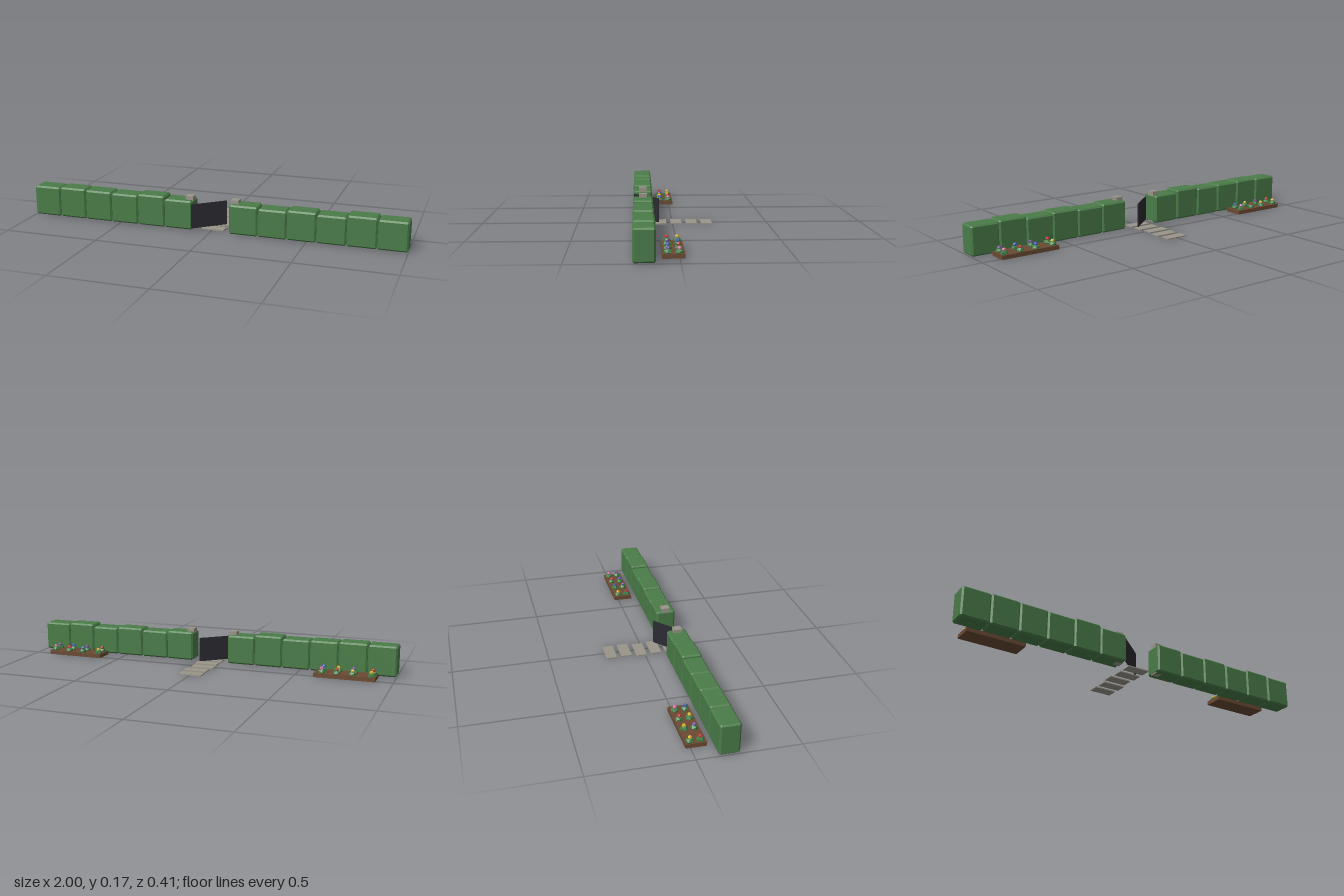
import * as THREE from 'three';
import { ConvexGeometry } from 'three/addons/geometries/ConvexGeometry.js';

const paint = (name, color) => {
  const m = new THREE.MeshStandardMaterial({ color });
  m.name = name;
  return m;
};

// Box with all edges chamfered, standing on y = 0
function chamferBox(w, h, d, b) {
  const pts = [];
  for (const x of [-1, 1]) for (const y of [-1, 1]) for (const z of [-1, 1]) {
    for (let axis = 0; axis < 3; axis++) {
      const inset = [b, b, b];
      inset[axis] = 0;
      pts.push(new THREE.Vector3(
        x * (w / 2 - inset[0]),
        h / 2 + y * (h / 2 - inset[1]),
        z * (d / 2 - inset[2])));
    }
  }
  return new ConvexGeometry(pts);
}

export function createModel() {
  const model = new THREE.Group();
  model.name = 'gardenHedge';

  const hedgeGreen = paint('hedge green', 0x4a7c48);
  const stone = paint('stone grey', 0x9a958a);
  const iron = paint('dark iron', 0x2c2b31);
  const wood = paint('planter brown', 0x6b4a33);
  const leaf = paint('leaf green', 0x3f7d45);
  const petals = {
    red: paint('red petal', 0xc23b3b),
    yellow: paint('yellow petal', 0xd6b431),
    purple: paint('purple petal', 0x8350a8),
    pink: paint('pink petal', 0xd672a4),
    blue: paint('blue petal', 0x4a5fc0),
  };

  const add = (parent, name, geometry, material, x, y, z) => {
    const mesh = new THREE.Mesh(geometry, material);
    mesh.name = name;
    mesh.position.set(x, y, z);
    parent.add(mesh);
    return mesh;
  };

  // Two hedge runs of six clipped blocks, ordered from -x to +x
  const heights = [
    [0.160, 0.163, 0.160, 0.157, 0.166, 0.154],
    [0.155, 0.148, 0.155, 0.148, 0.159, 0.153],
  ];
  heights.forEach((run, side) => {
    const start = side ? 0.1 : -1;
    run.forEach((h, i) => {
      add(model, 'hedgeBlock', chamferBox(0.149, h - 0.002, 0.1, 0.008), hedgeGreen,
        start + 0.075 + i * 0.15, 0.002, 0.155);
    });
  });

  // Gate posts, sunk in the hedge ends
  for (const side of [-1, 1]) {
    add(model, 'gatePost', new THREE.BoxGeometry(0.04, 0.171, 0.042), stone, side * 0.122, 0.0875, 0.155);
  }

  // Gate leaf, swung open on its hinge
  const gate = new THREE.Group();
  gate.name = 'gate';
  gate.position.set(-0.105, 0, 0.2);
  gate.rotation.y = 0.7;
  add(gate, 'gateLeaf', new THREE.BoxGeometry(0.198, 0.128, 0.005), iron, 0.099, 0.073, 0);
  model.add(gate);

  // Stepping stones
  [0, 0.004, -0.008, 0, 0].forEach((x, i) => {
    add(model, 'steppingStone', new THREE.BoxGeometry(0.122, 0.006, 0.057), stone,
      x, 0.003, -0.178 + i * 0.0795);
  });

  // Planters with two rows of four flowers: back row, then front row
  const bush = new THREE.IcosahedronGeometry(0.021, 0).toNonIndexed();
  bush.computeVertexNormals();
  const bloom = new THREE.IcosahedronGeometry(0.011, 0).toNonIndexed();
  bloom.computeVertexNormals();
  const beds = [
    { x: -0.757, xs: [-0.89, -0.795, -0.715, -0.638],
      rows: [['yellow', 'yellow', 'red', 'pink'], ['red', 'purple', 'yellow', 'blue']] },
    { x: 0.753, xs: [0.62, 0.715, 0.80, 0.885],
      rows: [['yellow', 'blue', 'red', 'pink'], ['red', 'purple', 'blue', 'purple']] },
  ];
  for (const bed of beds) {
    const planter = new THREE.Group();
    planter.name = 'planter';
    add(planter, 'planterBox', new THREE.BoxGeometry(0.312, 0.021, 0.1), wood, bed.x, 0.0125, 0.027);
    bed.rows.forEach((row, r) => row.forEach((colour, i) => {
      const z = r ? 0.051 : 0.002;
      const plant = add(planter, 'bush', bush, leaf, bed.xs[i], 0.026, z);
      plant.scale.y = 0.85;
      plant.rotation.y = i * 0.8 + r;
      add(planter, 'bloom', bloom, petals[colour], bed.xs[i], 0.044, z).rotation.y = i + r;
    }));
    model.add(planter);
  }

  return model;
}
